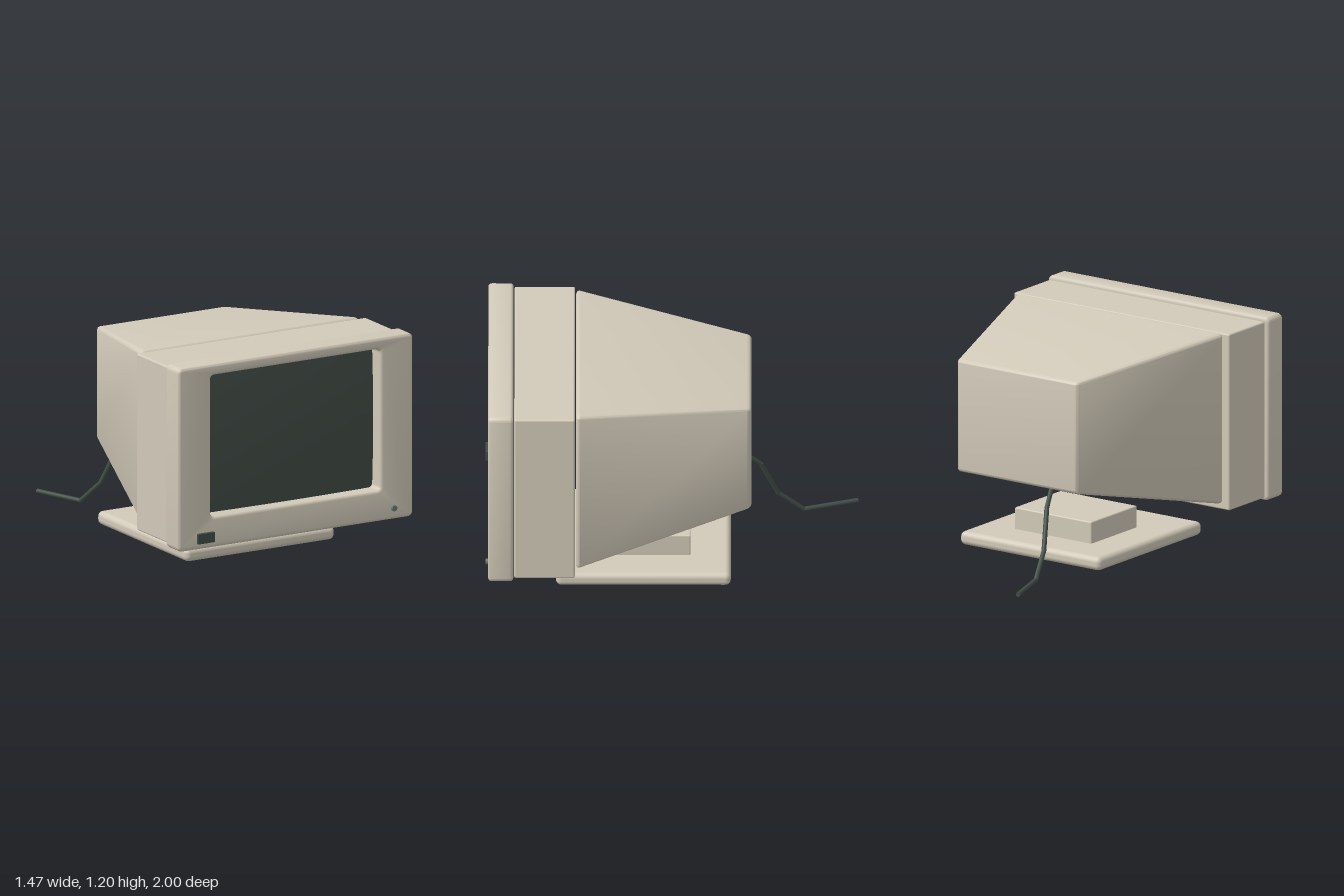
import * as THREE from 'three';
import { RoundedBoxGeometry } from 'three/addons/geometries/RoundedBoxGeometry.js';
import { toCreasedNormals } from 'three/addons/utils/BufferGeometryUtils.js';

const material = (name, hex) => {
  const m = new THREE.MeshStandardMaterial({ color: hex });
  m.name = name;
  return m;
};

// Rounded rectangle from its edges, used for outlines and holes
function roundedRect(target, x0, y0, x1, y1, r) {
  target.moveTo(x0 + r, y0);
  target.lineTo(x1 - r, y0);
  target.absarc(x1 - r, y0 + r, r, -Math.PI / 2, 0);
  target.lineTo(x1, y1 - r);
  target.absarc(x1 - r, y1 - r, r, 0, Math.PI / 2);
  target.lineTo(x0 + r, y1);
  target.absarc(x0 + r, y1 - r, r, Math.PI / 2, Math.PI);
  target.lineTo(x0, y0 + r);
  target.absarc(x0 + r, y0 + r, r, Math.PI, Math.PI * 1.5);
  return target;
}

export function createModel() {
  const beige = material('beige plastic', 0xd2cab9);
  const dark = material('dark grey green', 0x424d47);
  const lamp = material('lamp grey', 0x6f7a70);
  const model = new THREE.Group();
  model.name = 'monitor';

  const add = (name, geometry, mat) => {
    const mesh = new THREE.Mesh(geometry, mat);
    mesh.name = name;
    model.add(mesh);
    return mesh;
  };

  // Rounded box given by its extents
  const box = (name, x0, x1, y0, y1, z0, z1, r, mat) => {
    const g = new RoundedBoxGeometry(x1 - x0, y1 - y0, z1 - z0, 4, r);
    g.translate((x0 + x1) / 2, (y0 + y1) / 2, (z0 + z1) / 2);
    return add(name, g, mat);
  };

  // Front bezel, its opening widening towards the front
  const bevel = 0.018;
  const frame = roundedRect(new THREE.Shape(), -0.717, 0.195, 0.717, 1.177, 0.012);
  frame.holes.push(roundedRect(new THREE.Path(), -0.547, 0.33, 0.547, 1.15, 0.04));
  const bezel = new THREE.ExtrudeGeometry(frame, {
    depth: 0.135 - 2 * bevel, bevelSize: bevel, bevelThickness: bevel,
    bevelSegments: 4, curveSegments: 6,
  });
  bezel.translate(0, 0, 0.845 + bevel);
  add('bezel', toCreasedNormals(bezel, 0.6), beige);

  // Gently bulging screen set back in the bezel
  const screen = new THREE.PlaneGeometry(1.1, 0.83, 16, 12);
  const sp = screen.attributes.position;
  for (let i = 0; i < sp.count; i++) {
    const u = sp.getX(i) / 0.55, v = sp.getY(i) / 0.415;
    sp.setZ(i, 0.89 + 0.025 * (1 - (u * u + v * v) / 2));
  }
  screen.translate(0, 0.74, 0);
  screen.computeVertexNormals();
  add('screen', screen, dark);

  // Collar behind the bezel
  box('collar', -0.717, 0.717, 0.195, 1.175, 0.515, 0.84, 0.01, beige);

  // Rear housing: a rounded box tapered towards the back
  const zBack = -0.43, zFront = 0.51;
  const mix = THREE.MathUtils.lerp;
  const housing = new RoundedBoxGeometry(2, 2, 2, 4, 0.05);
  const hp = housing.attributes.position;
  for (let i = 0; i < hp.count; i++) {
    const t = (hp.getZ(i) + 1) / 2;
    hp.setXYZ(i,
      hp.getX(i) * mix(0.4, 0.69, t),
      mix(mix(0.445, 0.227, t), mix(1.063, 1.182, t), (hp.getY(i) + 1) / 2),
      mix(zBack, zFront, t));
  }
  add('rearHousing', toCreasedNormals(housing, 0.6), beige);

  // Stand
  box('pedestal', -0.255, 0.255, 0.06, 0.195, -0.105, 0.31, 0.008, beige);
  box('base', -0.467, 0.467, 0, 0.075, -0.32, 0.617, 0.03, beige);

  // Controls on the bezel
  box('powerButton', -0.62, -0.515, 0.21, 0.267, 0.97, 0.995, 0.003, dark);
  const light = add('indicatorLight', new THREE.CylinderGeometry(0.016, 0.016, 0.025, 16), lamp);
  light.rotation.x = Math.PI / 2;
  light.position.set(0.61, 0.24, 0.982);

  // Cable: straight lengths with rounded joints
  const cable = new THREE.Group();
  cable.name = 'cable';
  model.add(cable);
  const radius = 0.013;
  const points = [
    [-0.19, 0.47, -0.36], [-0.235, 0.355, -0.48], [-0.285, 0.145, -0.575],
    [-0.33, 0.02, -0.71], [-0.425, 0.02, -1.0],
  ].map((p) => new THREE.Vector3(...p));
  for (let i = 0; i < points.length - 1; i++) {
    const a = points[i], b = points[i + 1];
    const part = new THREE.Mesh(new THREE.CylinderGeometry(radius, radius, a.distanceTo(b), 10), dark);
    part.name = 'cableLength';
    part.position.copy(a).add(b).multiplyScalar(0.5);
    part.quaternion.setFromUnitVectors(new THREE.Vector3(0, 1, 0), b.clone().sub(a).normalize());
    cable.add(part);
    if (i > 0) {
      const joint = new THREE.Mesh(new THREE.SphereGeometry(radius, 10, 8), dark);
      joint.name = 'cableJoint';
      joint.position.copy(a);
      cable.add(joint);
    }
  }

  return model;
}
